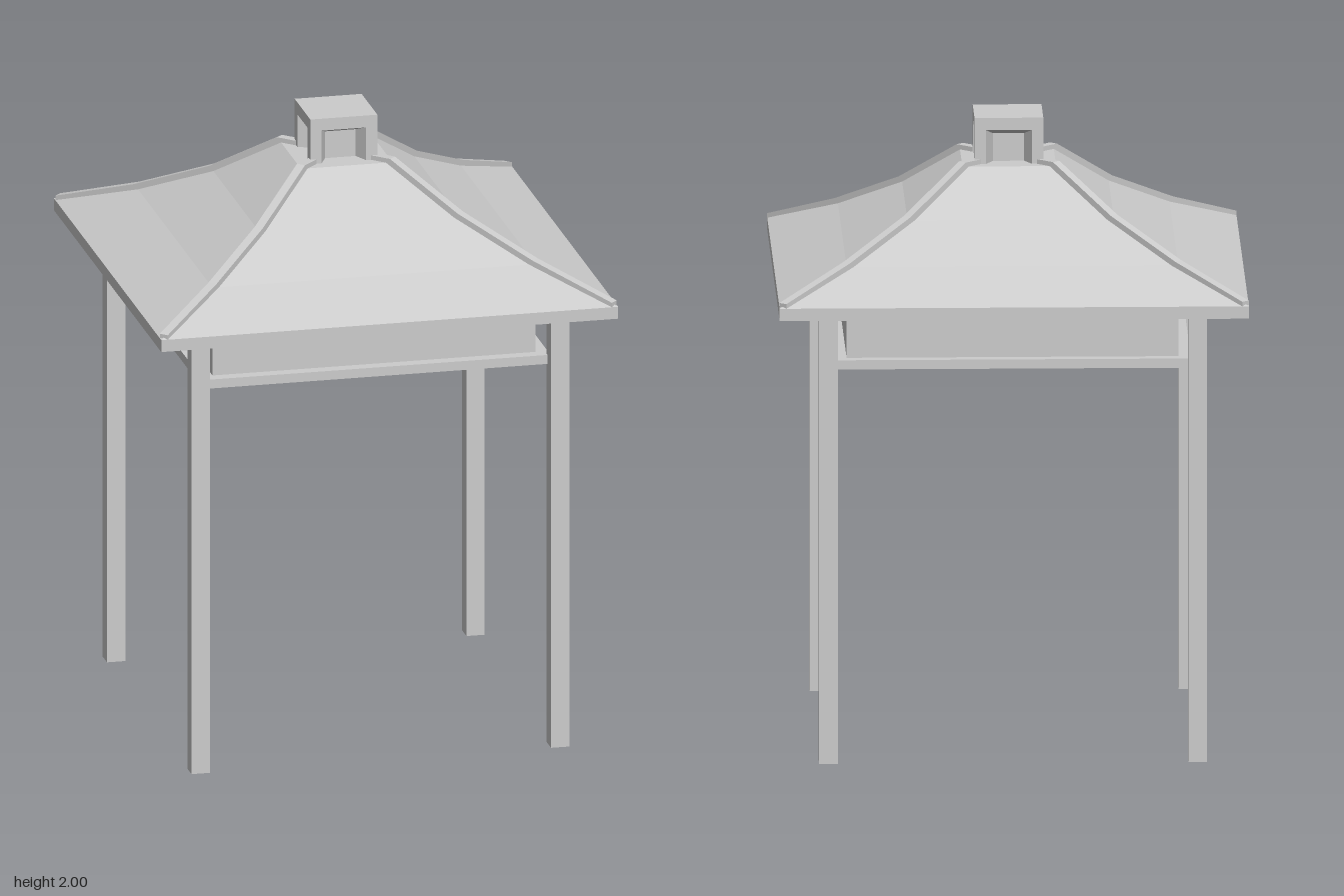
import * as THREE from 'three';

const material = new THREE.MeshStandardMaterial({ color: 0xcccccc, flatShading: true });

// Roof slope as [half width, height], from the eave up to the flat crown
const SLOPE = [[0.75, 1.51], [0.53, 1.6], [0.33, 1.71], [0.15, 1.85]];

function add(parent, name, geometry) {
  const mesh = new THREE.Mesh(geometry, material);
  mesh.name = name;
  parent.add(mesh);
  return mesh;
}

// Box spanning heights y0 to y1, square in plan
function block(parent, name, width, y0, y1, x = 0, z = 0) {
  const mesh = add(parent, name, new THREE.BoxGeometry(width, y1 - y0, width));
  mesh.position.set(x, (y0 + y1) / 2, z);
  return mesh;
}

// One cap side: outer outline, opening and smaller back panel joined in strips
function capSideGeometry() {
  const arch = (w, top, z) => [[-w, 1.85, z], [-w, top, z], [w, top, z], [w, 1.85, z]];
  const rings = [arch(0.11, 2, 0.11), arch(0.073, 1.96, 0.11), arch(0.05, 1.94, 0.06)];
  const positions = [];
  const quad = (a, b, c, d) => positions.push(...a, ...b, ...c, ...a, ...c, ...d);
  for (let r = 0; r < 2; r++) {
    for (let i = 0; i < 3; i++) {
      quad(rings[r][i], rings[r + 1][i], rings[r + 1][i + 1], rings[r][i + 1]);
    }
  }
  const [a, b, c, d] = rings[2];
  quad(d, c, b, a);
  const geometry = new THREE.BufferGeometry();
  geometry.setAttribute('position', new THREE.Float32BufferAttribute(positions, 3));
  geometry.computeVertexNormals();
  return geometry;
}

// Thin rib following the slope, laid along the diagonal
function hipGeometry() {
  const width = 0.03;
  const lift = 0.015;
  const diagonal = (half) => half * Math.SQRT2;
  const tip = diagonal(0.75) - width / 2;
  const radius = (half) => Math.min(diagonal(half), tip);
  const outline = [
    [tip, 1.47],
    ...SLOPE.map(([h, y]) => [radius(h), y + lift]),
    [diagonal(0.1), 1.85 + lift],
    [diagonal(0.1), 1.84],
    ...SLOPE.slice(1).reverse().map(([h, y]) => [diagonal(h), y - 0.015]),
    [diagonal(0.7), 1.47],
  ];
  const shape = new THREE.Shape(outline.map(([x, y]) => new THREE.Vector2(x, y)));
  const geometry = new THREE.ExtrudeGeometry(shape, { depth: width, bevelEnabled: false });
  return geometry.translate(0, 0, -width / 2);
}

export function createModel() {
  const model = new THREE.Group();
  model.name = 'pavilion';

  // Four corner posts
  for (const x of [-0.59, 0.59]) {
    for (const z of [-0.59, 0.59]) block(model, 'post', 0.06, 0, 1.48, x, z);
  }

  // Ceiling slab with a recessed skirt above it
  block(model, 'ceiling', 1.14, 1.275, 1.305);
  block(model, 'skirt', 1.06, 1.305, 1.475);

  // Four-sided flared roof, closed underneath
  const profile = [[0, 1.47], [0.75, 1.47], ...SLOPE, [0, 1.85]]
    .map(([half, y]) => new THREE.Vector2(half * Math.SQRT2, y));
  add(model, 'roof', new THREE.LatheGeometry(profile, 4, Math.PI / 4));

  // Ribs on the roof corners
  const hip = hipGeometry();
  for (let i = 0; i < 4; i++) {
    add(model, 'hipRidge', hip).rotation.y = Math.PI / 4 + i * Math.PI / 2;
  }

  // Cap with a tapered recess on every side
  const cap = new THREE.Group();
  cap.name = 'cap';
  const side = capSideGeometry();
  for (let i = 0; i < 4; i++) add(cap, 'capSide', side).rotation.y = i * Math.PI / 2;
  block(cap, 'capTop', 0.22, 1.98, 2);
  model.add(cap);

  return model;
}
